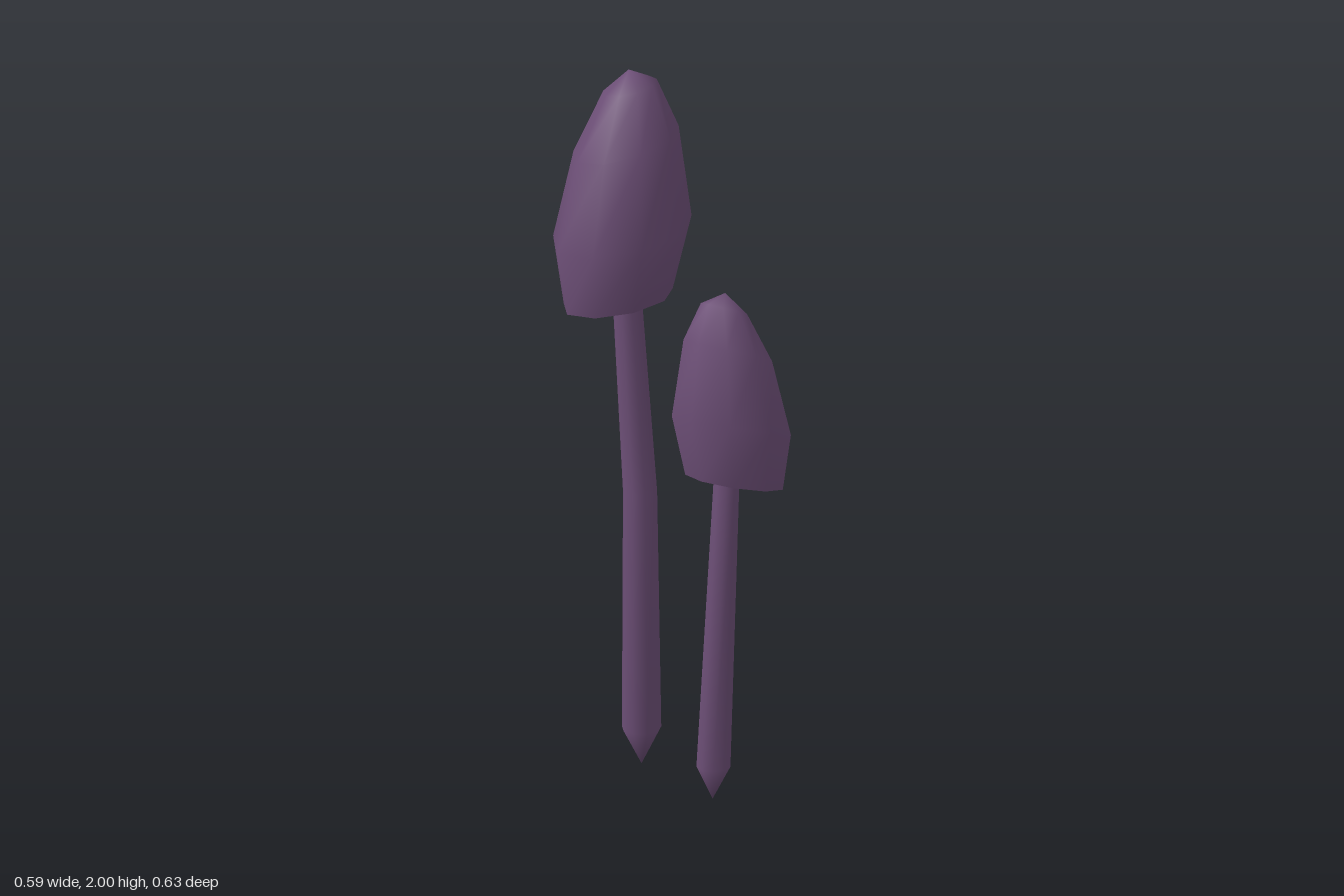
import * as THREE from 'three';
import { mergeVertices } from 'three/addons/utils/BufferGeometryUtils.js';

const SIDES = 9;
const DEPTH = 0.975; // rings are slightly narrower along z

// Skin over tilted rings listed bottom to top.
// Each ring: [centre x, y, z, radius, rise per x, rise per z]; radius 0 makes a point.
function skin(rings, { turn = 0, inward = false } = {}) {
  const positions = [], index = [];
  for (const [cx, cy, cz, r, sx = 0, sz = 0] of rings) {
    for (let j = 0; j < SIDES; j++) {
      const a = turn + (j / SIDES) * Math.PI * 2;
      const dx = r * Math.cos(a), dz = r * DEPTH * Math.sin(a);
      positions.push(cx + dx, cy + sx * dx + sz * dz, cz + dz);
    }
  }
  for (let i = 0; i < rings.length - 1; i++) {
    for (let j = 0; j < SIDES; j++) {
      const k = (j + 1) % SIDES;
      const a = i * SIDES + j, b = i * SIDES + k;
      const c = a + SIDES, d = b + SIDES;
      if (inward) index.push(a, b, c, b, d, c);
      else index.push(a, c, b, b, c, d);
    }
  }
  let geometry = new THREE.BufferGeometry();
  geometry.setAttribute('position', new THREE.Float32BufferAttribute(positions, 3));
  geometry.setIndex(index);
  geometry = mergeVertices(geometry, 1e-5); // joins the points so they shade smoothly
  geometry.computeVertexNormals();
  return geometry;
}

// Hollow dome that starts on the cap's rim and closes around the stem.
function liningRings([x, y, z, r, sx, sz]) {
  return [[1, 0], [0.9, 0.55], [0.6, 1.0], [0.15, 1.25]].map(
    ([width, height]) => [x, y + height * r, z, r * width, sx, sz]);
}

export function createModel() {
  const purple = new THREE.MeshStandardMaterial({ name: 'purple skin', color: 0x6d4f77 });
  const teal = new THREE.MeshStandardMaterial({ name: 'teal underside', color: 0x407c93 });
  const model = new THREE.Group();
  model.name = 'mushroomPair';

  function mushroom(name, stemRings, capRings, turn) {
    const group = new THREE.Group();
    group.name = name;
    const add = (part, geometry, material) => {
      const mesh = new THREE.Mesh(geometry, material);
      mesh.name = part;
      group.add(mesh);
    };
    add('stem', skin(stemRings, { turn }), purple);
    add('cap', skin(capRings, { turn }), purple);
    add('capLining', skin(liningRings(capRings[0]), { turn, inward: true }), teal);
    model.add(group);
  }

  // tall mushroom, bent stem
  mushroom('tallMushroom', [
    [-0.066, 0, -0.13, 0],
    [-0.066, 0.112, -0.13, 0.058],
    [-0.068, 0.82, -0.13, 0.049],
    [-0.102, 1.38, -0.128, 0.041],
    [-0.108, 1.6, -0.127, 0.037],
  ], [
    [-0.128, 1.375, -0.13, 0.153, 0.17, -0.1],
    [-0.116, 1.566, -0.132, 0.193, 0.19, -0.19],
    [-0.104, 1.807, -0.13, 0.145, 0.28, -0.2],
    [-0.092, 1.955, -0.127, 0.073, 0.26, -0.2],
    [-0.095, 2.0, -0.125, 0],
  ], 0);

  // short mushroom, leaning the other way
  mushroom('shortMushroom', [
    [0.098, 0.008, 0.163, 0],
    [0.1, 0.108, 0.163, 0.048],
    [0.132, 0.95, 0.163, 0.035],
    [0.138, 1.12, 0.163, 0.032],
  ], [
    [0.152, 0.928, 0.163, 0.133, -0.17, 0.1],
    [0.144, 1.083, 0.162, 0.161, -0.19, 0.19],
    [0.133, 1.287, 0.162, 0.119, -0.28, 0.2],
    [0.122, 1.4, 0.16, 0.062, -0.27, 0.2],
    [0.125, 1.442, 0.158, 0],
  ], Math.PI);

  return model;
}
